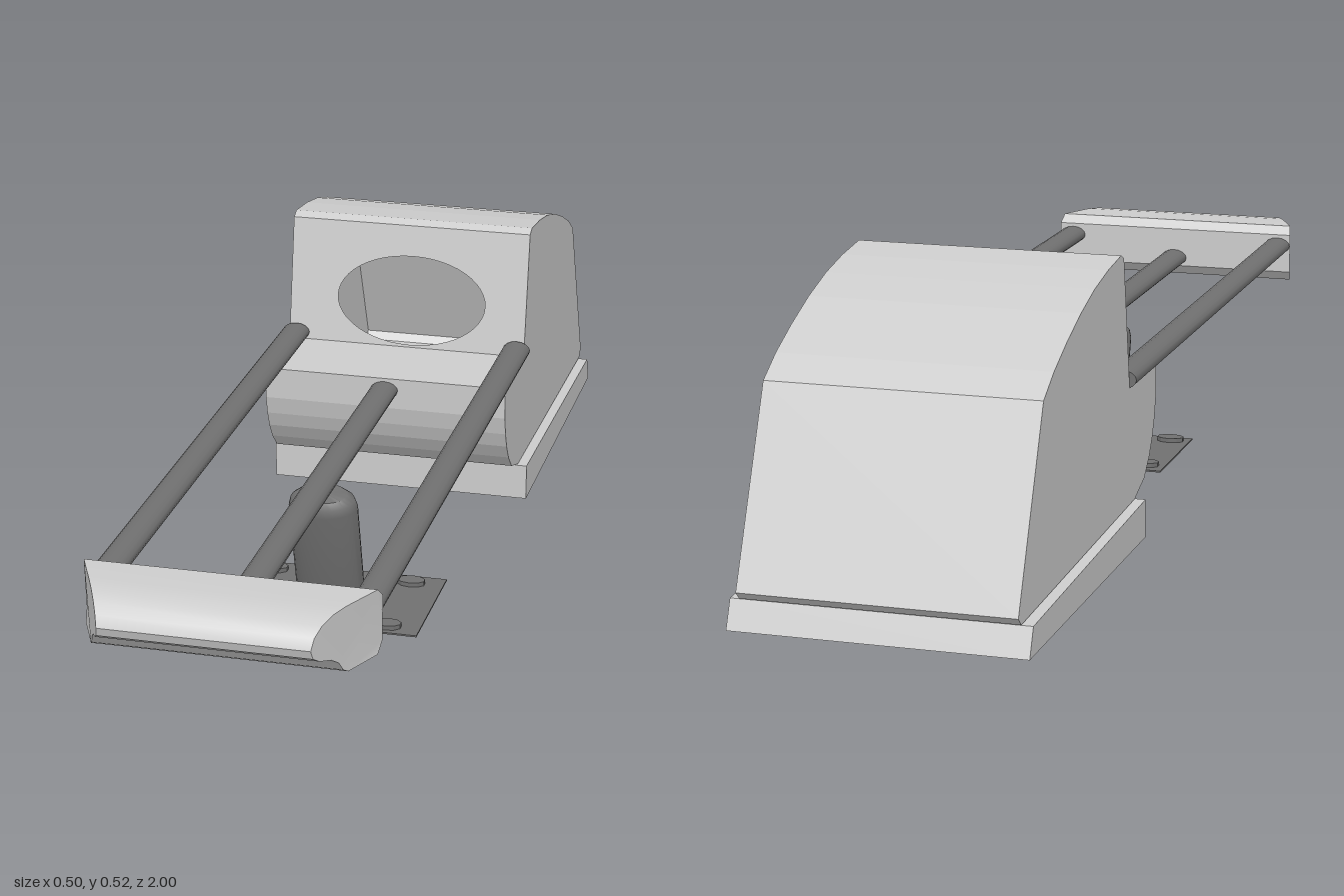
import * as THREE from 'three';
import { toCreasedNormals } from 'three/addons/utils/BufferGeometryUtils.js';

const make = (name, hex) => {
  const m = new THREE.MeshStandardMaterial({ color: hex, side: THREE.DoubleSide });
  m.name = name;
  return m;
};

// Sweep a (z, y) profile across x; half(z) is the half width, skip drops one strip.
function crossSweep(profile, half, skip = -1) {
  const pts = profile.map(([z, y]) => new THREE.Vector2(z, y));
  if (THREE.ShapeUtils.isClockWise(pts)) pts.reverse();
  const pos = [];
  const put = (p, s) => pos.push(s * half(p.x), p.y, p.x);
  pts.forEach((a, i) => {
    if (i === skip) return;
    const b = pts[(i + 1) % pts.length];
    put(a, 1); put(a, -1); put(b, -1);
    put(a, 1); put(b, -1); put(b, 1);
  });
  for (const [a, b, c] of THREE.ShapeUtils.triangulateShape(pts, [])) {
    put(pts[a], 1); put(pts[c], 1); put(pts[b], 1);
    put(pts[a], -1); put(pts[b], -1); put(pts[c], -1);
  }
  const g = new THREE.BufferGeometry();
  g.setAttribute('position', new THREE.Float32BufferAttribute(pos, 3));
  g.computeVertexNormals();
  return g;
}

export function createModel() {
  const group = new THREE.Group();
  const light = make('light grey', 0xcccccc);
  const dark = make('dark grey', 0x707070);
  const add = (name, geometry, material) => {
    const m = new THREE.Mesh(geometry, material);
    m.name = name;
    group.add(m);
    return m;
  };

  // Base slab under the housing
  add('base', crossSweep([[-0.32, 0], [-0.32, 0.068], [-0.98, 0.048], [-1, 0]], () => 0.25), light);

  // Hollow housing, counter-clockwise in (z, y); strip 7 is the sloped front panel
  const W = 0.232;
  const low = [-0.362, 0.275], high = [-0.402, 0.508];
  const housing = [
    [-0.325, 0.069], [-0.262, 0.09], [-0.23, 0.12], [-0.21, 0.15], [-0.197, 0.18],
    [-0.188, 0.215], [-0.186, 0.275], low, high, [-0.42, 0.516], [-0.5, 0.507],
    [-0.58, 0.492], [-0.66, 0.469], [-0.74, 0.439], [-0.81, 0.408], [-0.866, 0.375],
    [-1, 0.064], [-0.985, 0.05],
  ];
  add('housing', crossSweep(housing, () => W, 7), light);

  // Front panel with an oval opening into the housing
  const panel = new THREE.Shape([[-W, 0], [W, 0], [W, 1], [-W, 1]].map(([x, y]) => new THREE.Vector2(x, y)));
  const oval = new THREE.Path();
  oval.absellipse(0.007, 0.385, 0.145, 0.365, 0, Math.PI * 2, true);
  panel.holes.push(oval);
  const panelGeo = new THREE.ShapeGeometry(panel, 24);
  const p = panelGeo.attributes.position;
  for (let i = 0; i < p.count; i++) {
    const t = p.getY(i);
    p.setY(i, THREE.MathUtils.lerp(low[1], high[1], t));
    p.setZ(i, THREE.MathUtils.lerp(low[0], high[0], t));
  }
  panelGeo.computeVertexNormals();
  add('frontPanel', panelGeo, light);

  // Rounded crossbar with ends that taper toward the front
  const bar = [
    [0.833, 0.235], [0.85, 0.216], [0.917, 0.215], [0.928, 0.222], [0.938, 0.238], [0.955, 0.25],
    [0.98, 0.258], [0.995, 0.268], [1, 0.283], [0.992, 0.302], [0.975, 0.316],
    [0.95, 0.325], [0.92, 0.328], [0.85, 0.328], [0.833, 0.312],
  ];
  const barHalf = (z) => Math.min(0.245, 0.245 - (z - 0.842) * 0.46);
  add('crossbar', toCreasedNormals(crossSweep(bar, barHalf), 0.6), light);

  // Three flattened rails
  const rail = (name, x, y, back) => {
    const g = new THREE.CylinderGeometry(1, 1, 0.84 - back, 16);
    g.rotateX(Math.PI / 2).scale(0.026, 0.0165, 1);
    add(name, g, dark).position.set(x, y, (0.84 + back) / 2);
  };
  rail('leftRail', 0.218, 0.289, -0.362);
  rail('rightRail', -0.218, 0.289, -0.362);
  rail('centreRail', 0, 0.252, -0.192);

  // Leaning oval post with a rounded top, cut level at the floor
  const profile = [[0, 0], [1, 0], [1, 0.217], [0.93, 0.232], [0.72, 0.243], [0, 0.246]];
  const post = new THREE.LatheGeometry(profile.map(([r, y]) => new THREE.Vector2(r, y)), 28);
  post.scale(0.062, 1, 0.041).rotateX(0.262);
  const q = post.attributes.position;
  for (let i = 0; i < q.count; i++) q.setY(i, Math.max(0.002, q.getY(i)));
  add('post', toCreasedNormals(post, 0.7), dark).position.set(0.003, 0, 0.222);

  // Floor plate and its four bolts
  add('floorPlate', new THREE.BoxGeometry(0.353, 0.003, 0.245), dark).position.set(0.0085, 0.0015, 0.2125);
  for (const x of [-0.131, 0.126]) for (const z of [0.122, 0.309]) {
    const bolt = new THREE.CylinderGeometry(1, 1, 0.009, 10).scale(0.026, 1, 0.017);
    add('bolt', toCreasedNormals(bolt, 0.3), dark).position.set(x, 0.0065, z);
  }
  return group;
}
